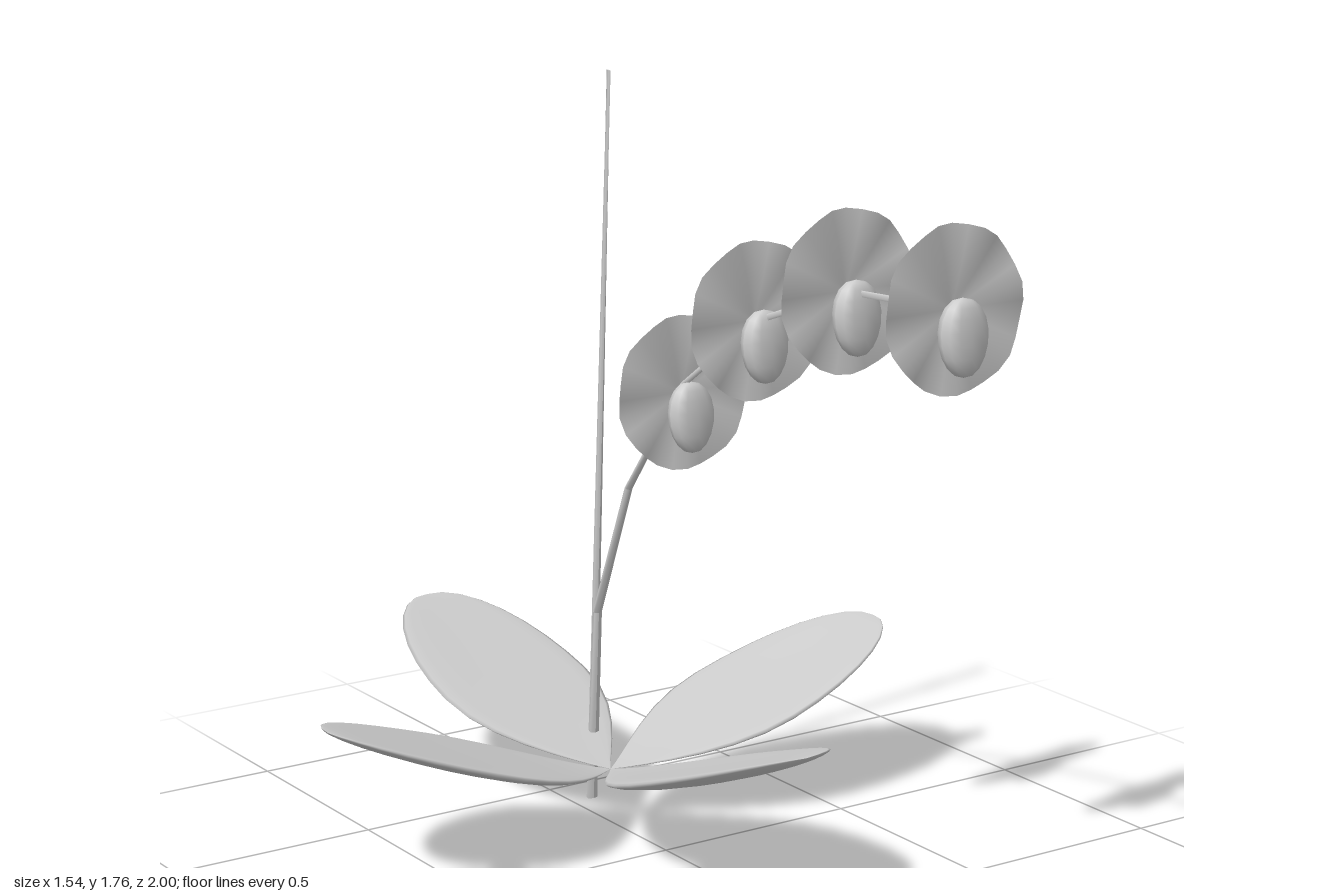
import * as THREE from 'three';
import { ParametricGeometry } from 'three/addons/geometries/ParametricGeometry.js';

const solid = new THREE.MeshStandardMaterial({ color: 0xcccccc });
const thin = new THREE.MeshStandardMaterial({ color: 0xcccccc, side: THREE.DoubleSide });
const STEM_X = 0.055;

// Straight rod; its half-width in x runs from w0 to w1, its depth stays constant
function rod(name, a, b, w0, w1, depth) {
  const dir = new THREE.Vector3().subVectors(b, a);
  const geo = new THREE.CylinderGeometry(1, 1, dir.length(), 6);
  const pos = geo.attributes.position;
  for (let i = 0; i < pos.count; i++) {
    const w = pos.getY(i) > 0 ? w1 : w0;
    pos.setXYZ(i, pos.getX(i) * w, pos.getY(i), pos.getZ(i) * depth);
  }
  geo.computeVertexNormals();
  const mesh = new THREE.Mesh(geo, solid);
  mesh.name = name;
  mesh.position.copy(a).add(b).multiplyScalar(0.5);
  mesh.quaternion.setFromUnitVectors(new THREE.Vector3(0, 1, 0), dir.normalize());
  return mesh;
}

// Fleshy lens-shaped leaf growing along +z and curving upward, pointed at its base
function leafGeometry() {
  const length = 0.77;
  return new ParametricGeometry((u, t, p) => {
    const a = u * Math.PI * 2;
    const v = Math.cos(a);
    const s = (1 - Math.cos(Math.PI * t)) / 2; // finer steps near both ends
    const outline = s < 0.5
      ? Math.pow(Math.sin(Math.PI * s), 1.05)
      : Math.sqrt(Math.max(0, 1 - (2 * s - 1) ** 2));
    const bulge = Math.sin(a) * (Math.sin(a) > 0 ? 0.016 : 0.024);
    const y = 0.13 + 0.245 * Math.pow(s, 1.3) + (0.012 * v * v + bulge) * outline;
    p.set(v * 0.206 * outline, y, s * length);
  }, 20, 16);
}

// Round, slightly ruffled bloom with a dimple in the middle
function petalGeometry() {
  return new ParametricGeometry((u, t, p) => {
    const a = u * Math.PI * 2;
    const r = t * (0.174 + 0.002 * Math.cos(7 * a));
    const ruffle = 0.005 * t * t * Math.sin(7 * a);
    const dimple = -0.012 * Math.pow(1 - t, 2);
    p.set(r * Math.cos(a), r * Math.sin(a), ruffle + dimple);
  }, 28, 5);
}

// Puffy lip with a blunt front, fuller near its top
function lipGeometry() {
  const g = new THREE.SphereGeometry(1, 12, 9);
  const pos = g.attributes.position;
  for (let i = 0; i < pos.count; i++) {
    const y = pos.getY(i), z = pos.getZ(i);
    const depth = Math.sign(z) * Math.pow(Math.abs(z), 0.6);
    pos.setXYZ(i, pos.getX(i) * 0.056 * (1 + 0.1 * y), y * 0.081, depth * 0.031);
  }
  g.computeVertexNormals();
  return g;
}

export function createModel() {
  const model = new THREE.Group();
  model.name = 'floweringPlant';

  // Four leaves in a cross
  const leaves = new THREE.Group();
  leaves.name = 'leaves';
  const leafGeo = leafGeometry();
  for (const [name, degrees] of [['frontLeaf', 0], ['leftLeaf', 90.5], ['backLeaf', 183], ['rightLeaf', -86.5]]) {
    const leaf = new THREE.Mesh(leafGeo, thin);
    leaf.name = name;
    leaf.rotation.y = THREE.MathUtils.degToRad(degrees);
    leaf.position.z = -0.232;
    leaves.add(leaf);
  }
  model.add(leaves);

  // Support stake
  const point = (y, z) => new THREE.Vector3(STEM_X, y, z);
  model.add(rod('stake', point(0, -0.4), point(1.755, -0.312), 0.013, 0.002, 0.008));

  // Arching flower stem, in straight segments that get narrower
  const path = [[0, -0.397], [0.47, -0.37], [0.8, -0.235], [1.085, -0.015], [1.28, 0.265], [1.4, 0.595], [1.422, 0.95]]
    .map(([y, z]) => point(y, z));
  const widths = [0.014, 0.012, 0.01, 0.006, 0.003, 0.002, 0.002];
  const stem = new THREE.Group();
  stem.name = 'flowerStem';
  for (let i = 0; i < path.length - 1; i++) {
    stem.add(rod('stemSegment', path[i], path[i + 1], widths[i], widths[i + 1], 0.007));
  }
  model.add(stem);

  // Four flowers along the arch
  const petalGeo = petalGeometry();
  const lipGeo = lipGeometry();
  const blooms = [[1.068, -0.015, 0.07], [1.28, 0.265, 0.06], [1.4, 0.592, 0.055], [1.422, 0.943, 0.05]];
  for (const [y, z, tilt] of blooms) {
    const flower = new THREE.Group();
    flower.name = 'flower';
    const petals = new THREE.Mesh(petalGeo, thin);
    petals.name = 'petals';
    const lip = new THREE.Mesh(lipGeo, solid);
    lip.name = 'lip';
    lip.position.set(0.001, -0.054, 0.024);
    flower.add(petals, lip);
    flower.position.set(STEM_X + 0.003, y, z);
    flower.rotation.x = -tilt;
    model.add(flower);
  }
  return model;
}
